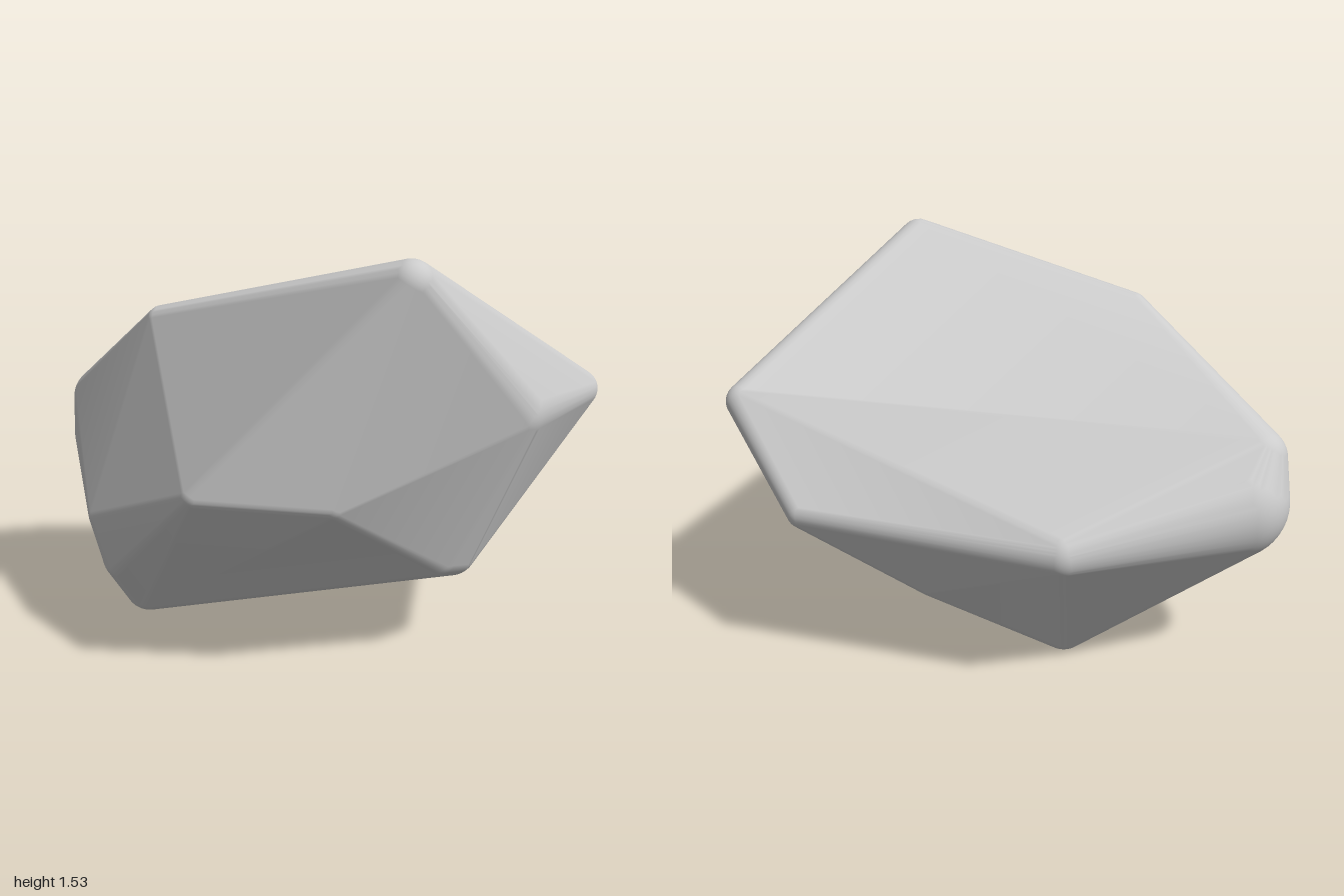
import * as THREE from 'three';
import { ConvexGeometry } from 'three/addons/geometries/ConvexGeometry.js';

// A ball inside every rounded corner: center x, y, z, then radii x, y, z
const ball = (x, y, z, rx, ry = rx, rz = rx) => ({
  center: new THREE.Vector3(x, y, z),
  radii: new THREE.Vector3(rx, ry, rz),
});

const balls = [
  ball(0.775, 1.45, 0.36, 0.08),    // peak
  ball(-0.186, 1.245, 0.49, 0.06),  // front top
  ball(0.91, 0.965, -0.595, 0.075), // back right top
  ball(0.86, 0.97, -0.14, 0.14),    // right side
  ball(0.53, 0.645, -0.725, 0.065), // back
  ball(-0.395, 0.6, -0.43, 0.1),    // back left
  ball(0.185, 0.737, 0.725, 0.06),  // front
  ball(0.56, 0.715, 0.465, 0.06),   // front right
  ball(-0.37, 0.52, 0.635, 0.07),   // front left
  ball(-0.34, 0.33, 0.56, 0.1),     // front left, lower
  ball(-0.33, 0.184, 0.465, 0.1),   // front foot
  ball(-0.23, 0.1, -0.12, 0.1),     // bottom
  ball(0.65, 0.39, -0.15, 0.1),     // right foot, back
  ball(0.65, 0.42, -0.04, 0.1),     // right foot, front
  ball(0.14, 0.365, -0.475, 0.07),  // back foot
  ball(-0.78, 0.66, 0.155, 0.22, 0.22, 0.21), // broad left end
  ball(-0.84, 0.82, 0.22, 0.12),    // upper rim of the left end
];

// The stone is the skin stretched over all the balls
function stoneGeometry() {
  const points = [];
  for (const { center, radii } of balls) {
    const pos = new THREE.IcosahedronGeometry(1, radii.x > 0.09 ? 8 : 4).attributes.position;
    const seen = new Set();
    for (let i = 0; i < pos.count; i++) {
      const v = new THREE.Vector3().fromBufferAttribute(pos, i);
      const key = v.toArray().map((n) => n.toFixed(3)).join();
      if (seen.has(key)) continue;
      seen.add(key);
      points.push(v.multiply(radii).add(center));
    }
  }
  const geometry = new ConvexGeometry(points);

  // Smooth normals: each skin vertex takes the normal of the ball it lies on
  const { position, normal } = geometry.attributes;
  const p = new THREE.Vector3();
  const n = new THREE.Vector3();
  for (let i = 0; i < position.count; i++) {
    let best = Infinity;
    for (const { center, radii } of balls) {
      p.fromBufferAttribute(position, i).sub(center).divide(radii);
      const miss = Math.abs(p.length() - 1);
      if (miss < best) {
        best = miss;
        n.copy(p).divide(radii).normalize();
      }
    }
    normal.setXYZ(i, n.x, n.y, n.z);
  }
  return geometry;
}

export function createModel() {
  const group = new THREE.Group();
  group.name = 'rock';
  const stone = new THREE.Mesh(stoneGeometry(), new THREE.MeshStandardMaterial({ color: 0xcccccc }));
  stone.name = 'stone';
  group.add(stone);
  return group;
}
